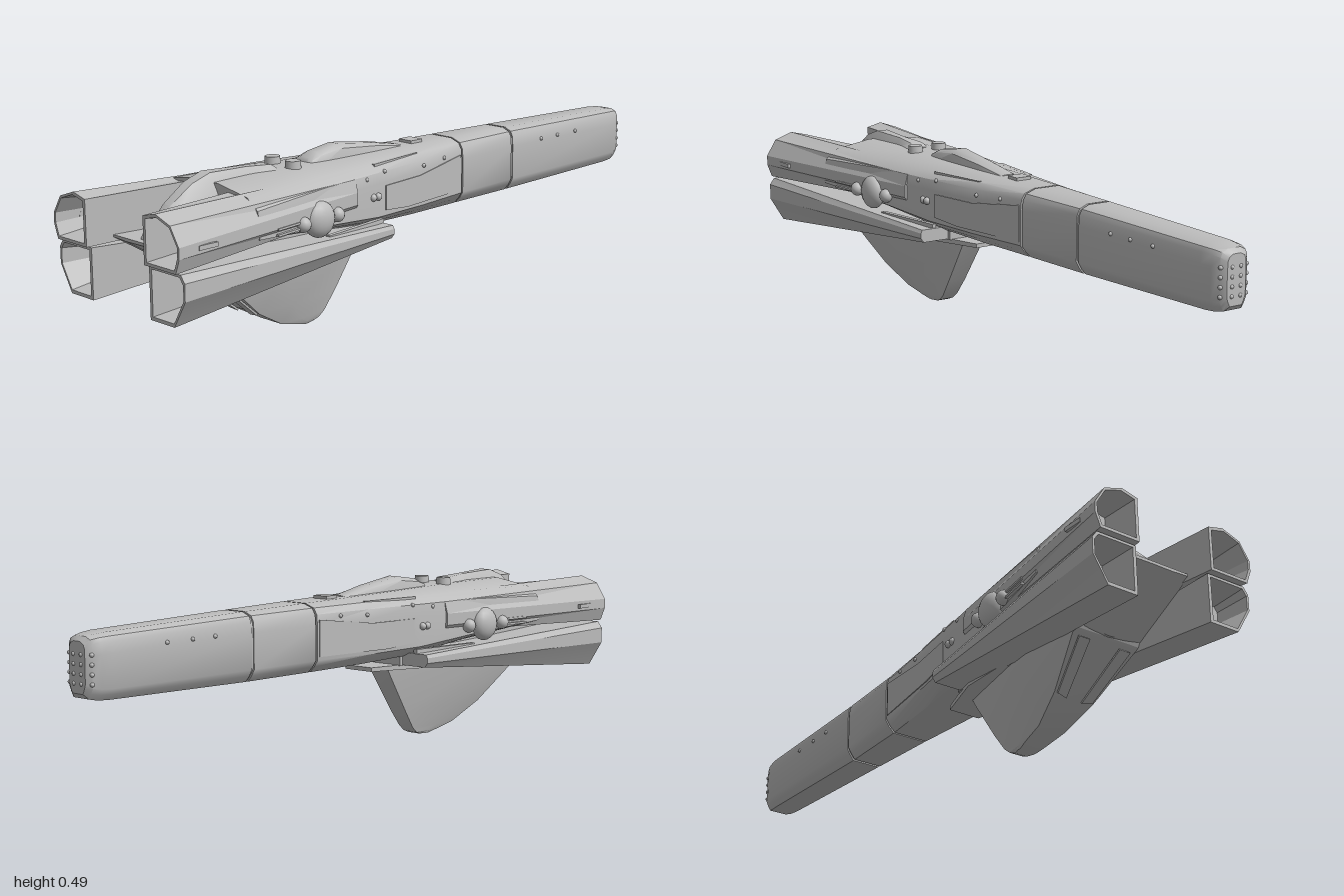
import * as THREE from 'three';
import { toCreasedNormals } from 'three/addons/utils/BufferGeometryUtils.js';

const grey = new THREE.MeshStandardMaterial({ color: 0xbcbcbc });
grey.name = 'hull grey';

const V = (x, y, z) => new THREE.Vector3(x, y, z);

// Skins a series of equal-length point rings, caps both ends, and turns faces outward.
function loft(rings, crease = 0.5) {
  const tris = [];
  const n = rings[0].length;
  const cap = (ring) => {
    const c = V(0, 0, 0);
    ring.forEach((p) => c.add(p));
    c.divideScalar(n);
    return c;
  };
  for (let i = 0; i < rings.length - 1; i++) {
    const a = rings[i], b = rings[i + 1];
    for (let j = 0; j < n; j++) {
      const k = (j + 1) % n;
      tris.push([a[j], a[k], b[k]], [a[j], b[k], b[j]]);
    }
  }
  const first = rings[0], last = rings[rings.length - 1];
  const c0 = cap(first), c1 = cap(last);
  for (let j = 0; j < n; j++) {
    const k = (j + 1) % n;
    tris.push([c0, first[k], first[j]], [c1, last[j], last[k]]);
  }
  let volume = 0;
  tris.forEach(([a, b, c]) => { volume += a.dot(b.clone().cross(c)); });
  const pos = [];
  tris.forEach(([a, b, c]) => {
    (volume > 0 ? [a, b, c] : [a, c, b]).forEach((p) => pos.push(p.x, p.y, p.z));
  });
  const g = new THREE.BufferGeometry();
  g.setAttribute('position', new THREE.Float32BufferAttribute(pos, 3));
  return toCreasedNormals(g, crease);
}

// Closes a half outline (x > 0) across the centre line.
const mirrored = (half) => [
  ...half,
  ...half.slice().reverse().map((p) => V(-p.x, p.y, p.z)),
];

const at = (outline, z) => outline.map(([x, y]) => V(x, y, z));

function scaleRing(ring, s, dz) {
  const c = V(0, 0, 0);
  ring.forEach((p) => c.add(p));
  c.divideScalar(ring.length);
  return ring.map((p) => V(c.x + (p.x - c.x) * s, c.y + (p.y - c.y) * s, p.z + dz));
}

export function createModel() {
  const ship = new THREE.Group();
  ship.name = 'spacecraft';

  const add = (name, geometry, x = 0, y = 0, z = 0) => {
    const m = new THREE.Mesh(geometry, grey);
    m.name = name;
    m.position.set(x, y, z);
    ship.add(m);
    return m;
  };
  const box = (name, w, h, d, x, y, z) => add(name, new THREE.BoxGeometry(w, h, d), x, y, z);
  const bump = (name, r, x, y, z, sx = 1) => {
    const m = add(name, new THREE.SphereGeometry(r, 16, 12), x, y, z);
    m.scale.x = sx;
    return m;
  };

  // Hull sections: z, half top width, half width, top, shoulder, lower side, bottom
  const section = ([z, tw, w, yt, ys, yl, yb]) => mirrored([
    V(tw, yt, z), V((tw + w * 2.4) / 3.4, (yt * 1.6 + ys) / 2.6, z), V(w * 0.97, ys, z),
    V(w, ys - 0.03, z), V(w, yl, z), V(w * 0.86, (yl + yb) / 2, z), V(w * 0.66, yb, z),
  ]);
  const hull = (name, rows) => add(name, loft(rows.map(section), 0.6));

  hull('noseSection', [
    [-1, 0.012, 0.03, 0.418, 0.40, 0.31, 0.285],
    [-0.988, 0.02, 0.044, 0.43, 0.41, 0.30, 0.272],
    [-0.965, 0.026, 0.053, 0.434, 0.415, 0.297, 0.267],
    [-0.93, 0.03, 0.058, 0.437, 0.415, 0.295, 0.265],
    [-0.444, 0.035, 0.069, 0.446, 0.42, 0.29, 0.255],
  ]);
  hull('forwardSection', [
    [-0.436, 0.035, 0.070, 0.446, 0.42, 0.29, 0.255],
    [-0.203, 0.04, 0.085, 0.449, 0.42, 0.29, 0.255],
  ]);
  hull('seamCore', [
    [-0.5, 0.032, 0.064, 0.441, 0.415, 0.295, 0.26],
    [-0.15, 0.036, 0.08, 0.444, 0.415, 0.295, 0.26],
  ]);
  hull('mainHull', [
    [-0.197, 0.04, 0.086, 0.449, 0.42, 0.29, 0.255],
    [0, 0.045, 0.112, 0.451, 0.42, 0.29, 0.258],
    [0.2, 0.05, 0.14, 0.454, 0.42, 0.295, 0.265],
    [0.42, 0.05, 0.17, 0.458, 0.42, 0.315, 0.29],
    [0.7, 0.05, 0.212, 0.458, 0.41, 0.335, 0.32],
  ]);

  // Canopy on the spine
  const canopyRing = ([z, w, y]) => mirrored([
    V(w * 0.4, y, z), V(w * 0.8, y - (y - 0.445) * 0.25, z), V(w, 0.445, z), V(w, 0.43, z),
  ]);
  add('canopy', loft([
    [-0.01, 0.03, 0.453], [0.1, 0.034, 0.474], [0.24, 0.04, 0.492],
    [0.32, 0.042, 0.48], [0.35, 0.04, 0.468], [0.36, 0.032, 0.455],
  ].map(canopyRing), 0.7));
  box('sensorBox', 0.05, 0.014, 0.045, 0, 0.452, -0.068);

  // Tail spine, pinched in the middle and sloping down to the rear deck
  const tailRing = ([z, w, y, base]) => mirrored([
    V(w * 0.3, y, z), V(w * 0.8, y - (y - base) * 0.35, z), V(w, base + (y - base) * 0.2, z), V(w * 0.8, base, z),
  ]);
  add('tailSpine', loft([
    [0.47, 0.065, 0.46, 0.4], [0.49, 0.064, 0.472, 0.4], [0.57, 0.036, 0.477, 0.4], [0.7, 0.06, 0.482, 0.34],
    [0.76, 0.058, 0.462, 0.335], [0.83, 0.05, 0.415, 0.33], [0.88, 0.042, 0.365, 0.325], [0.9, 0.03, 0.335, 0.325],
  ].map(tailRing), 0.7));

  // Rear deck with its underside slanting up to a thin trailing edge
  const deck = ([z, w, top, low, mid]) => mirrored([
    V(w, top, z), V(w, low, z), V(w * 0.5, (low + mid) / 2 - 0.002, z), V(w * 0.02, mid, z),
  ]);
  add('rearDeck', loft([
    [0.17, 0.085, 0.28, 0.235, 0.232], [0.5, 0.11, 0.33, 0.217, 0.21],
    [0.73, 0.115, 0.332, 0.213, 0.2], [0.92, 0.115, 0.332, 0.326, 0.324],
  ].map(deck), 0.3));
  add('bellyPlate', loft([
    at([[-0.05, 0.236], [0.05, 0.236], [0.05, 0.224], [-0.05, 0.224]], 0.08),
    at([[-0.1, 0.238], [0.1, 0.238], [0.1, 0.222], [-0.1, 0.222]], 0.24),
    at([[-0.115, 0.232], [0.115, 0.232], [0.115, 0.212], [-0.115, 0.212]], 0.72),
  ], 0.3));

  // Keel fin, built from horizontal sections: y, front z, rear z, half widths
  const keelRing = ([y, zf, zr, wf, wr]) => mirrored([
    V(wf, y, zf), V(wr * 0.96, y, zf + (zr - zf) * 0.6), V(wr, y, zr),
  ]);
  add('keelFin', loft([
    [0.225, 0.17, 0.735, 0.035, 0.112], [0.2, 0.185, 0.722, 0.035, 0.108],
    [0.08, 0.265, 0.58, 0.03, 0.066], [0.025, 0.305, 0.48, 0.026, 0.043],
    [0.008, 0.325, 0.41, 0.024, 0.034], [0, 0.345, 0.38, 0.02, 0.028],
  ].map(keelRing), 0.3));

  for (const s of [1, -1]) {
    const side = s > 0 ? 'left' : 'right';
    const flip = (ring) => ring.map((p) => V(p.x * s, p.y, p.z));
    const plate = (name, pts, offset) =>
      add(name, loft([flip(pts), flip(pts.map((p) => p.clone().add(offset)))], 0.3));

    // Engine nacelles with hollow nozzles
    const nozzle = (name, front, rear) => {
      const rim = flip(rear);
      add(name, loft([flip(front), rim, scaleRing(rim, 0.88, 0), scaleRing(rim, 0.7, -0.1)], 0.25));
    };
    nozzle(side + 'UpperEngine',
      at([[0.05, 0.33], [0.145, 0.33], [0.16, 0.35], [0.16, 0.385], [0.15, 0.42], [0.11, 0.44], [0.05, 0.445]], 0.3),
      at([[0.12, 0.311], [0.245, 0.311], [0.26, 0.35], [0.26, 0.38], [0.228, 0.43], [0.17, 0.45], [0.12, 0.438]], 1));
    nozzle(side + 'LowerEngine',
      at([[0.08, 0.237], [0.17, 0.237], [0.18, 0.25], [0.18, 0.265], [0.175, 0.275], [0.08, 0.275]], 0.18),
      at([[0.12, 0.166], [0.215, 0.166], [0.26, 0.24], [0.26, 0.287], [0.245, 0.307], [0.12, 0.307]], 0.985));
    box(side + 'EngineRoot', 0.055, 0.1, 0.06, s * 0.092, 0.38, 0.685);
    box(side + 'EngineVent', 0.008, 0.012, 0.06, s * 0.248, 0.365, 0.9);

    // Round side pod with two small companions and a ridge behind
    bump(side + 'SidePod', 0.05, s * 0.177, 0.342, 0.46, 0.62);
    for (const z of [0.39, 0.53]) bump(side + 'SmallPod', 0.021, s * (0.172 + (z - 0.39) * 0.14), 0.342, z);
    for (const y of [0.334, 0.35]) {
      const rail = box(side + 'PodRail', 0.012, 0.006, 0.11, s * 0.197, y, 0.58);
      rail.rotation.y = s * 0.14;
    }

    // Twin stub turrets behind the canopy
    add(side + 'Turret', new THREE.CylinderGeometry(0.021, 0.024, 0.035, 20), s * 0.042, 0.46, 0.43);

    // Raised hull, keel and shoulder panels
    plate(side + 'HullPanel', [
      V(0.086, 0.405, -0.19), V(0.086, 0.3, -0.19), V(0.122, 0.3, 0.07), V(0.136, 0.31, 0.17), V(0.136, 0.38, 0.17),
      V(0.114, 0.38, 0.01),
    ], V(0.003, 0, 0));
    plate(side + 'KeelPanel', [
      V(0.086, 0.185, 0.71), V(0.05, 0.185, 0.71), V(0.026, 0.075, 0.575), V(0.058, 0.08, 0.58),
    ], V(0, -0.004, 0.004));
    const ledge = box(side + 'ShoulderLedge', 0.012, 0.012, 0.2, s * 0.1, 0.436, 0.1);
    ledge.rotation.y = s * 0.14;
    const sill = box(side + 'LowerSill', 0.014, 0.012, 0.24, s * 0.15, 0.282, 0.3);
    sill.rotation.y = s * 0.14;

    // Small thrusters and rivets along the flank
    for (const [y, z] of [[0.355, 0.225], [0.355, 0.205]]) bump(side + 'Thruster', 0.011, s * 0.142, y, z);
    for (const [y, z, x] of [[0.41, 0.25, 0.143], [0.42, 0.17, 0.132], [0.405, -0.01, 0.11], [0.41, -0.11, 0.096],
      [0.395, -0.58, 0.066], [0.395, -0.66, 0.064], [0.395, -0.75, 0.062]]) {
      bump(side + 'Rivet', 0.006, s * x, y, z);
    }
    // Nose tip studs
    for (const y of [0.31, 0.335, 0.36, 0.385]) {
      bump(side + 'NoseStud', 0.006, s * 0.014, y, -0.998);
      bump(side + 'NoseStud', 0.006, s * 0.042, y, -0.988);
    }
  }
  // Centre the length on z = 0
  const bounds = new THREE.Box3().setFromObject(ship);
  const mid = (bounds.min.z + bounds.max.z) / 2;
  ship.children.forEach((m) => { m.position.z -= mid; });
  return ship;
}
